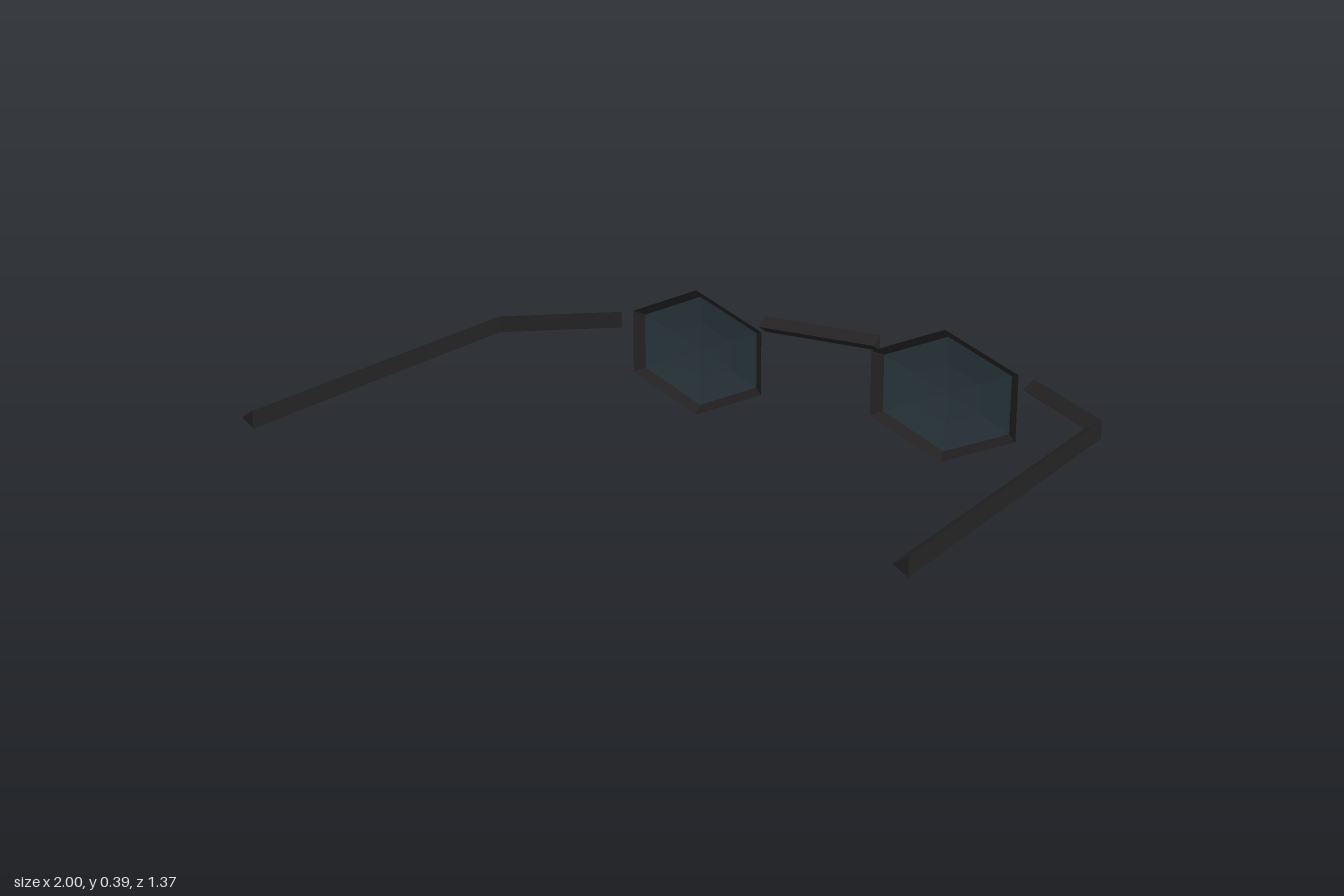
import * as THREE from 'three';

// Skin a list of equal loops into faces; optionally close the two ends.
function skin(loops, capped) {
  const pos = [];
  const tri = (a, b, c) => pos.push(...a, ...b, ...c);
  const n = loops[0].length;
  for (let s = 0; s < loops.length - 1; s++) {
    const p = loops[s], q = loops[s + 1];
    for (let i = 0; i < n; i++) {
      const j = (i + 1) % n;
      tri(p[i], p[j], q[j]);
      tri(p[i], q[j], q[i]);
    }
  }
  if (capped) {
    const a = loops[0], b = loops[loops.length - 1];
    for (let i = 1; i < n - 1; i++) {
      tri(a[0], a[i + 1], a[i]);
      tri(b[0], b[i], b[i + 1]);
    }
  }
  const g = new THREE.BufferGeometry();
  g.setAttribute('position', new THREE.Float32BufferAttribute(pos, 3));
  g.computeVertexNormals();
  return g;
}

export function createModel() {
  const group = new THREE.Group();
  const frame = new THREE.MeshStandardMaterial({ color: 0x252323, flatShading: true, side: THREE.DoubleSide });
  frame.name = 'black frame';
  const glass = new THREE.MeshStandardMaterial({ color: 0x2f3e45, flatShading: true, side: THREE.DoubleSide });
  glass.name = 'dark glass';

  const add = (name, geometry, material, parent = group) => {
    const mesh = new THREE.Mesh(geometry, material);
    mesh.name = name;
    parent.add(mesh);
  };

  // Shallow hexagonal bowls: a bevelled rim around gently domed glass
  const hex = [[0, 0.197], [0.231, 0.1], [0.231, -0.096], [0, -0.197], [-0.231, -0.096], [-0.231, 0.1]];
  const ring = (scale, z) => hex.map(([x, y]) => [x * scale, y * scale, z]);
  for (const [name, x] of [['rightLens', -0.413], ['leftLens', 0.42]]) {
    const lens = new THREE.Group();
    lens.name = name;
    lens.position.set(x, 0.204, 0);
    add(name + 'Rim', skin([ring(1, -0.653), ring(0.87, -0.676)]), frame, lens);
    add(name + 'Glass', skin([ring(0.87, -0.676), ring(0.45, -0.683), ring(0, -0.687)]), glass, lens);
    group.add(lens);
  }

  // Three-sided bridge, its ridge towards the front
  const bridgeEnd = (x) => [[x, 0.322, -0.644], [x, 0.346, -0.684], [x, 0.298, -0.684]];
  add('bridge', skin([bridgeEnd(0.2), bridgeEnd(-0.187)], true), frame);

  // Three-sided arms; each station holds the ridge x, z, flat side x, z and height
  const arm = (stations) => skin(stations.map(([px, pz, fx, fz, y]) => [
    [px, y, pz], [fx, y + 0.025, fz], [fx, y - 0.025, fz],
  ]), true);
  add('rightArm', arm([
    [-1, 0.685, -0.96, 0.685, 0.256],
    [-1, -0.405, -0.96, -0.387, 0.275],
    [-0.703, -0.662, -0.675, -0.635, 0.275],
  ]), frame);
  add('leftArm', arm([
    [0.96, 0.685, 1, 0.685, 0.256],
    [0.96, -0.387, 1, -0.405, 0.275],
    [0.677, -0.625, 0.7, -0.652, 0.275],
  ]), frame);

  return group;
}
